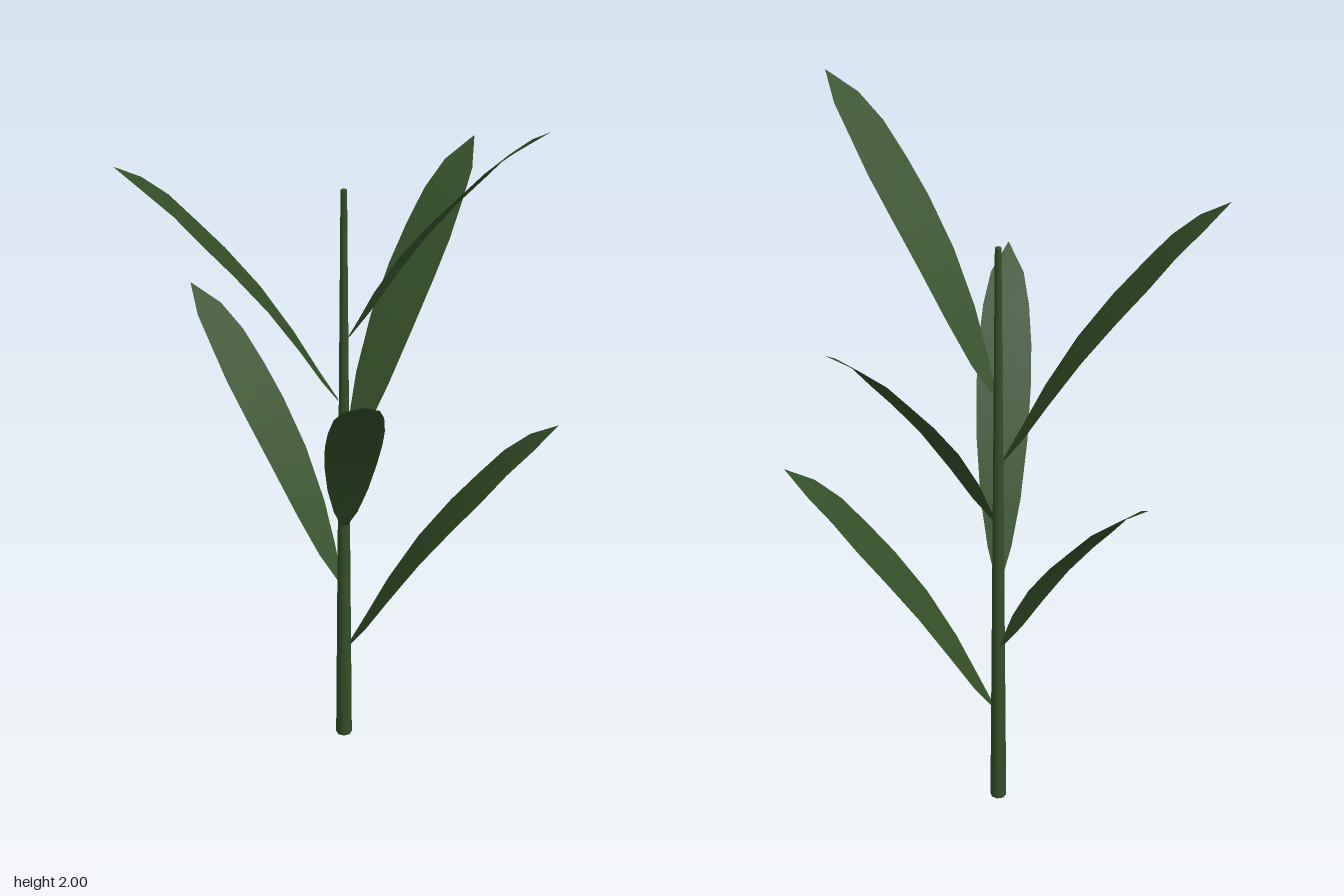
import * as THREE from 'three';

// Leaf stations: [distance from stem axis, height above leaf base, half width]
const STATIONS = [
  [0.015, 0, 0.008], [0.06, 0.075, 0.031], [0.12, 0.185, 0.052], [0.2, 0.315, 0.066],
  [0.285, 0.43, 0.071], [0.355, 0.515, 0.069], [0.42, 0.595, 0.06], [0.485, 0.657, 0.043], [0.552, 0.71, 0.001],
];
const LEAF_BASES = [0.31, 0.52, 0.715, 0.92, 1.1, 1.29];
const GOLDEN_ANGLE = THREE.MathUtils.degToRad(137.5);

// Flat blade that climbs outward along +x and arches slightly
function leafGeometry() {
  const geo = new THREE.PlaneGeometry(1, 1, 2, STATIONS.length - 1);
  const pos = geo.attributes.position;
  for (let i = 0; i < pos.count; i++) {
    const [r, h, w] = STATIONS[Math.floor(i / 3)];
    pos.setXYZ(i, r, h, ((i % 3) - 1) * w);
  }
  // Make the upper face the front
  const index = geo.index.array;
  const a = new THREE.Vector3(), b = new THREE.Vector3(), c = new THREE.Vector3();
  a.fromBufferAttribute(pos, index[0]);
  b.fromBufferAttribute(pos, index[1]).sub(a);
  c.fromBufferAttribute(pos, index[2]).sub(a);
  if (b.cross(c).y < 0) {
    for (let i = 0; i < index.length; i += 3) [index[i + 1], index[i + 2]] = [index[i + 2], index[i + 1]];
  }
  geo.computeVertexNormals();
  return geo;
}

export function createModel() {
  const plant = new THREE.Group();
  plant.name = 'leafyStalk';
  const green = new THREE.MeshStandardMaterial({ color: 0x335028, side: THREE.DoubleSide });
  green.name = 'leafGreen';

  // Tapering stem
  const stem = new THREE.Mesh(new THREE.CylinderGeometry(0.008, 0.022, 1.7, 8), green);
  stem.name = 'stem';
  stem.position.y = 0.85;
  plant.add(stem);

  // Leaves spiralling up the stem
  const blade = leafGeometry();
  LEAF_BASES.forEach((y, i) => {
    const leaf = new THREE.Mesh(blade, green);
    leaf.name = `leaf${i + 1}`;
    leaf.position.y = y;
    leaf.rotation.y = i * GOLDEN_ANGLE;
    plant.add(leaf);
  });

  // Offset the stem so the whole plant is centred
  plant.children.forEach((part) => {
    part.position.x = -0.008;
    part.position.z = -0.06;
  });
  return plant;
}
